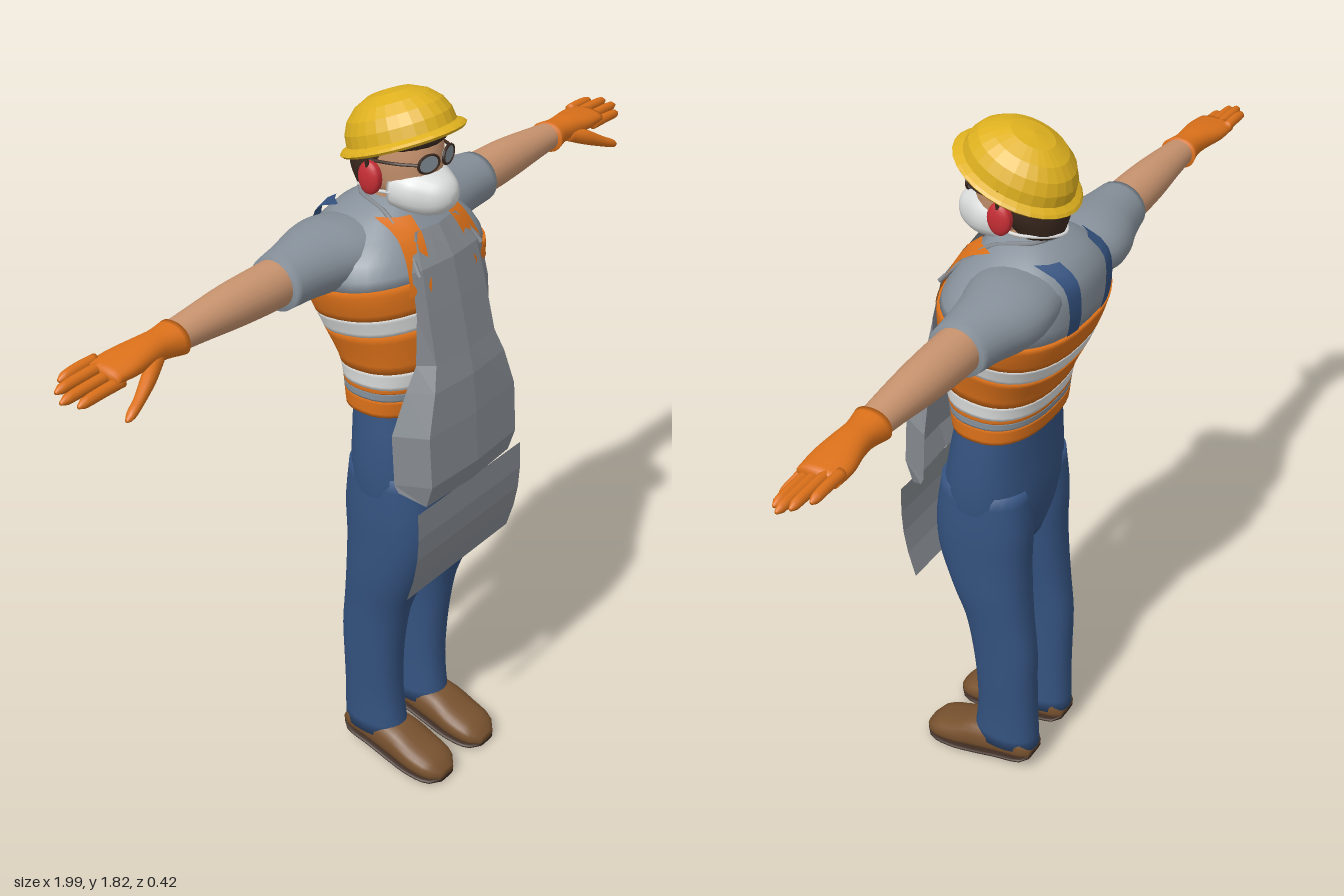
import * as THREE from 'three';

const mat = (name, color, side = THREE.FrontSide) => {
  const m = new THREE.MeshStandardMaterial({ color, side });
  m.name = name;
  return m;
};

// Value of a section table [t, u, v, ru, rv] at t, smoothly interpolated
function sectionAt(S, t) {
  let i = 0;
  while (i < S.length - 2 && t > S[i + 1][0]) i++;
  const h = S[i + 1][0] - S[i][0], s = (t - S[i][0]) / h;
  const slope = (k, c) => {
    const a = S[Math.max(k - 1, 0)], b = S[Math.min(k + 1, S.length - 1)];
    return (b[c] - a[c]) / (b[0] - a[0]);
  };
  return [1, 2, 3, 4].map((c) => {
    const s2 = s * s, s3 = s2 * s;
    return (2 * s3 - 3 * s2 + 1) * S[i][c] + (s3 - 2 * s2 + s) * h * slope(i, c)
      + (3 * s2 - 2 * s3) * S[i + 1][c] + (s3 - s2) * h * slope(i + 1, c);
  });
}

// Superellipse loft along an axis; (u, v) are z,x for y; y,z for x; x,y for z
const ORDER = { x: [0, 1, 2], y: [1, 2, 0], z: [2, 0, 1] };
function loft(axis, S, { n = 24, p = 2, from = S[0][0], to = S.at(-1)[0], steps = 16, tilt = () => 0, grow = 1 } = {}) {
  const pos = [], idx = [], o = ORDER[axis];
  const put = (t, u, v) => { const q = []; q[o[0]] = t; q[o[1]] = u; q[o[2]] = v; pos.push(...q); };
  const pw = (c) => Math.sign(c) * Math.abs(c) ** (2 / p);
  for (let i = 0; i <= steps; i++) {
    const t = from + (to - from) * i / steps, [cu, cv, ru, rv] = sectionAt(S, t);
    for (let j = 0; j < n; j++) {
      const a = j / n * Math.PI * 2, u = cu + grow * ru * pw(Math.cos(a));
      put(t + tilt(t) * u, u, cv + grow * rv * pw(Math.sin(a)));
      if (i === steps) continue;
      const A = i * n + j, B = i * n + (j + 1) % n;
      idx.push(A, B, B + n, A, B + n, A + n);
    }
  }
  const last = steps * n, c0 = pos.length / 3;
  for (const t of [from, to]) { const [u, v] = sectionAt(S, t); put(t + tilt(t) * u, u, v); }
  for (let j = 0; j < n; j++) {
    const k = (j + 1) % n;
    idx.push(c0, k, j, c0 + 1, last + j, last + k);
  }
  return finish(pos, idx);
}

function finish(pos, idx) {
  const g = new THREE.BufferGeometry();
  g.setAttribute('position', new THREE.Float32BufferAttribute(pos, 3));
  g.setIndex(idx);
  g.computeVertexNormals();
  return g;
}

// Open sheet from rows of points
function sheet(rows) {
  const w = rows[0].length, idx = [];
  for (let i = 0; i < rows.length - 1; i++) for (let j = 0; j < w - 1; j++) {
    const a = i * w + j;
    idx.push(a, a + w, a + w + 1, a, a + w + 1, a + 1);
  }
  return finish(rows.flat(2), idx);
}

const flat = (g) => { const f = g.toNonIndexed(); f.computeVertexNormals(); return f; };

function mirrored(g) {
  const m = g.clone().scale(-1, 1, 1), a = m.index.array;
  for (let i = 0; i < a.length; i += 3) [a[i], a[i + 1]] = [a[i + 1], a[i]];
  return m;
}

const tube = (pts, r, closed = false) =>
  new THREE.TubeGeometry(new THREE.CatmullRomCurve3(pts.map((q) => new THREE.Vector3(...q)), closed), 28, r, 6, closed);

const TORSO = [
  [1.08, 0, 0, .11, .172], [1.2, 0, 0, .128, .178], [1.3, -.018, 0, .147, .203], [1.4, -.035, 0, .163, .233],
  [1.46, -.048, 0, .156, .228], [1.52, -.06, 0, .135, .17], [1.55, -.06, 0, .1, .115], [1.58, -.045, 0, .068, .072]];

export function createModel() {
  const group = new THREE.Group();
  const D = THREE.DoubleSide;
  const orange = mat('safety orange', 0xdc711a, D), yellow = mat('helmet yellow', 0xdfb11f, D);
  const blue = mat('denim blue', 0x34527f, D), apronGrey = mat('apron grey', 0x868b91, D);
  const shirtGrey = mat('shirt grey', 0x87919b), light = mat('pale grey', 0xdcdddd);
  const red = mat('ear muff red', 0xc62e35), dark = mat('dark brown', 0x3c2a20);
  const skin = mat('skin', 0xc9946f), leather = mat('shoe leather', 0x78522f);
  const add = (name, g, m) => {
    const mesh = new THREE.Mesh(g, m);
    mesh.name = name;
    group.add(mesh);
    return mesh;
  };
  const pair = (name, g, m) => { add('left ' + name, g, m); add('right ' + name, mirrored(g), m); };

  // Shirt and striped vest
  const tilt = (y) => .15 * Math.max(0, Math.min(1, (y - 1.1) / .2, (1.52 - y) / .1));
  const band = (name, from, to, m, grow = 1.02) =>
    add(name, loft('y', TORSO, { n: 36, p: 2.4, from, to, steps: 5, tilt, grow }), m);
  band('vest hem', 1.085, 1.128, orange);
  band('vest lower trim', 1.128, 1.148, shirtGrey);
  band('vest waist seam', 1.148, 1.158, orange);
  band('vest lower stripe', 1.158, 1.2, light);
  band('vest middle', 1.2, 1.3, orange);
  band('vest upper stripe', 1.3, 1.345, light);
  band('vest chest', 1.345, 1.42, orange);
  band('shirt shoulders', 1.41, 1.58, shirtGrey, 1);

  // Straps lying on the torso, in front (sign 1) or behind (sign -1)
  const strap = (sign, y0, y1, x0, x1, w) => {
    const rows = [];
    for (let i = 0; i <= 10; i++) {
      const s = i / 10, y = y0 + (y1 - y0) * s;
      const [cz, , rz, rx] = sectionAt(TORSO, y);
      rows.push([-1, 0, 1].map((k) => {
        const x = x0 + (x1 - x0) * s + k * w / 2;
        const f = Math.max(0, 1 - Math.min(1, x / rx) ** 2.4) ** (1 / 2.4);
        return [x, y + .006, cz + sign * (rz * f + .01)];
      }));
    }
    return sheet(rows);
  };
  pair('vest front strap', strap(1, 1.4, 1.55, .115, .08, .06), orange);
  pair('back brace', strap(-1, 1.37, 1.55, .07, .085, .042), blue);

  // Trousers
  add('trouser seat', loft('y', [
    [.72, .02, 0, .09, .12], [.82, .02, 0, .118, .168], [.9, .018, 0, .122, .178],
    [1, .012, 0, .112, .174], [1.1, .003, 0, .1, .162]], { p: 2.3, n: 32 }), blue);
  pair('trouser leg', loft('y', [
    [.08, -.038, .087, .092, .06], [.2, -.043, .09, .083, .058], [.3, -.042, .093, .083, .06],
    [.4, -.037, .095, .088, .062], [.5, -.022, .095, .092, .068], [.6, .002, .093, .107, .08],
    [.7, .02, .09, .122, .086], [.8, .022, .089, .126, .089], [.92, .02, .085, .112, .088]], { p: 2.2, steps: 24 }), blue);

  // Shoes and soles from [z, bottom, top, half width]
  const shoe = [[-.122, .05, .085, .035], [-.1, .04, .12, .05], [-.03, .028, .125, .055], [.05, .012, .115, .06],
    [.11, .004, .086, .063], [.17, .001, .062, .054], [.195, .005, .036, .028]];
  pair('shoe', loft('z', shoe.map(([z, b, t, w]) => [z, .088, (b + t) / 2 + .003, w, (t - b) / 2 - .003]), { p: 2.5 }), leather);
  pair('sole', loft('z', shoe.map(([z, b, , w]) => [z, .088, b + .007, w * .98, .007]), { p: 3 }), dark);

  // Sleeves, arms and gloves
  pair('sleeve', loft('x', [
    [.08, 1.48, -.075, .06, .11], [.16, 1.475, -.088, .076, .11], [.22, 1.472, -.093, .077, .098],
    [.29, 1.472, -.088, .069, .08], [.367, 1.47, -.083, .063, .067]]), shirtGrey);
  pair('arm', loft('x', [
    [.3, 1.472, -.085, .055, .055], [.4, 1.472, -.084, .054, .055], [.5, 1.474, -.084, .05, .051],
    [.6, 1.475, -.083, .041, .043], [.7, 1.474, -.083, .032, .035]]), skin);
  pair('glove', loft('x', [
    [.675, 1.473, -.082, .038, .046], [.72, 1.475, -.083, .032, .037], [.76, 1.476, -.084, .03, .04],
    [.82, 1.474, -.088, .025, .05], [.875, 1.472, -.09, .018, .049]], { p: 2.2 }), orange);
  [[.95, -.13, 1.482], [.982, -.105, 1.478], [.993, -.08, 1.468], [.97, -.056, 1.458]].forEach(([x, z, y], i) =>
    pair('finger ' + (i + 1), loft('x', [
      [.85, y, z, .013, .012], [.9, y, z, .013, .012], [x - .012, y - .003, z, .011, .01],
      [x, y - .005, z, .004, .004]], { n: 10, steps: 10 }), orange));
  pair('thumb', loft('x', [
    [.74, 1.464, -.065, .018, .018], [.79, 1.447, -.042, .021, .019], [.85, 1.42, -.018, .014, .013],
    [.88, 1.408, -.01, .011, .011], [.893, 1.403, -.008, .004, .004]], { n: 12 }), orange);

  // Head
  add('neck', loft('y', [[1.5, -.05, 0, .055, .055], [1.63, -.035, 0, .055, .055]]), skin);
  add('head', loft('y', [
    [1.555, .03, 0, .03, .035], [1.59, .01, 0, .075, .062], [1.64, -.02, 0, .1, .08],
    [1.69, -.025, 0, .106, .086], [1.75, -.03, 0, .095, .08], [1.78, -.03, 0, .06, .05]]), skin);
  add('hair', loft('y', [
    [1.585, -.075, 0, .055, .058], [1.64, -.06, 0, .084, .085], [1.7, -.045, 0, .1, .092],
    [1.722, -.026, 0, .113, .096], [1.77, -.02, 0, .09, .085]]), dark);
  add('face mask', loft('z', [
    [0, 0, 1.61, .083, .056], [.05, 0, 1.607, .078, .056], [.09, 0, 1.602, .056, .047],
    [.115, 0, 1.602, .036, .032], [.126, 0, 1.602, .016, .015]], { p: 2.3 }), light);
  add('mask cord', tube([[.08, 1.61, .01], [.075, 1.6, -.07], [0, 1.59, -.137], [-.075, 1.6, -.07], [-.08, 1.61, .01]], .004), light);

  // Glasses and ear muffs
  const lens = new THREE.CylinderGeometry(.026, .026, .006, 20).rotateX(Math.PI / 2).scale(1.1, .8, 1).rotateY(.25).translate(.036, 1.682, .081);
  pair('glasses lens', lens, shirtGrey);
  pair('glasses rim', new THREE.TorusGeometry(.026, .0035, 6, 20).scale(1.1, .8, 1).rotateY(.25).translate(.036, 1.682, .083), dark);
  pair('glasses arm', tube([[.063, 1.685, .075], [.086, 1.685, .03], [.094, 1.68, -.04]], .004), dark);
  pair('ear muff', new THREE.CapsuleGeometry(.014, .008, 6, 20).rotateZ(Math.PI / 2).scale(1, 2.8, 2.1).translate(.1, 1.643, -.03), red);
  pair('ear muff arm', tube([[.108, 1.66, -.03], [.112, 1.7, -.03], [.106, 1.73, -.03]], .005), dark);

  // Hard hat
  const hatProfile = [[.1, -.008], [.128, -.016], [.133, -.01], [.128, -.004], [.115, .003], [.112, .03],
    [.1, .057], [.078, .08], [.045, .097], [0, .103]].map(([x, y]) => new THREE.Vector2(x, y));
  const hat = add('hard hat', flat(new THREE.LatheGeometry(hatProfile, 28).scale(1, 1, 1.18)), yellow);
  hat.rotation.x = -.37;
  hat.position.set(0, 1.716, -.02);

  // Apron: wrapped upper part from [y, centre z, half width, edge z], then a hanging panel
  const cols = [-1, -.8, -.4, 0, .4, .8, 1];
  const bib = [[1.53, .085, .075, .075], [1.46, .127, .127, .108], [1.36, .15, .135, .128], [1.24, .176, .14, .13],
    [1.18, .19, .168, .123], [1.08, .2, .208, .113], [.95, .208, .208, .12], [.89, .19, .205, .13]];
  add('apron', flat(sheet(bib.map(([y, z, w, e], i) => cols.map((c) => {
    const edge = Math.abs(c) === 1;
    return [c * w, y + (edge && i === bib.length - 1 ? .04 : 0), edge ? e : z - .012 * Math.abs(c)];
  })))), apronGrey);
  add('apron skirt', flat(sheet([[.892, .188], [.82, .19], [.76, .186], [.7, .175], [.633, .155]].map(([y, z]) =>
    cols.map((c) => [c * .206, y, z])))), apronGrey);
  pair('apron neck strap', tube([[.115, 1.45, .12], [.1, 1.5, .075], [.085, 1.56, 0], [.06, 1.58, -.09], [0, 1.58, -.12]], .006), apronGrey);

  return group;
}
